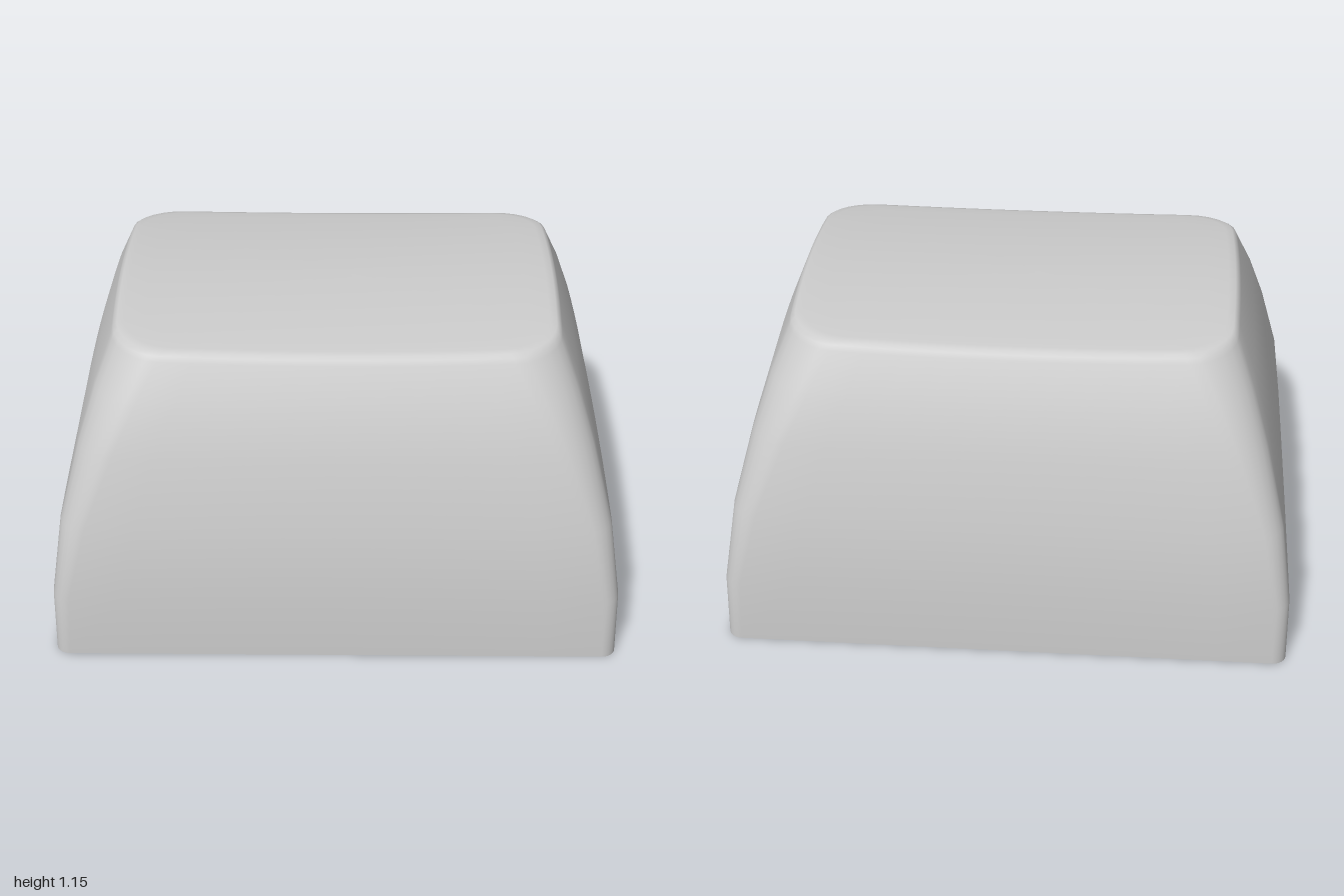
import * as THREE from 'three';

const ARC = 6, SIDE = 10;

// Arched front to back, slightly dished from side to side
const topSag = (x, z) => -0.042 * (z / 0.56) ** 2 - 0.012 * (1 - Math.min(1, (x / 0.77) ** 2));

// Rounded rectangle outline in x/z, with sides bowed outwards by a fraction
function outline(hx, hz, r, bow) {
  const pts = [];
  const corners = [[1, 1], [-1, 1], [-1, -1], [1, -1]];
  const arcPoint = (k, t) => {
    const a = (k + t) * Math.PI / 2;
    return [corners[k][0] * (hx - r) + r * Math.cos(a), corners[k][1] * (hz - r) + r * Math.sin(a)];
  };
  for (let k = 0; k < 4; k++) {
    for (let i = 0; i <= ARC; i++) pts.push(arcPoint(k, i / ARC));
    const a = arcPoint(k, 1), b = arcPoint((k + 1) % 4, 0);
    for (let i = 1; i < SIDE; i++) {
      const t = i / SIDE;
      pts.push([a[0] + (b[0] - a[0]) * t, a[1] + (b[1] - a[1]) * t]);
    }
  }
  return pts.map(([x, z]) => [x * (1 - bow * (z / hz) ** 2), z * (1 - bow * (x / hx) ** 2)]);
}

// Joins rings of points into one smooth skin
function loft(rings) {
  const n = rings[0].length, index = [];
  for (let i = 0; i < rings.length - 1; i++) {
    for (let j = 0; j < n; j++) {
      const k = (j + 1) % n;
      const a = i * n + j, b = i * n + k, c = a + n, d = b + n;
      index.push(a, c, b, b, c, d);
    }
  }
  const geo = new THREE.BufferGeometry();
  geo.setAttribute('position', new THREE.Float32BufferAttribute(rings.flat(2), 3));
  geo.setIndex(index);
  geo.computeVertexNormals();
  return geo;
}

export function createModel() {
  const group = new THREE.Group();
  group.name = 'keycap';
  const material = new THREE.MeshStandardMaterial({ color: 0xcccccc });

  // Half width, half depth, height, corner radius
  const levels = [
    [1, 0.785, 0, 0.05],
    [1, 0.785, 0.24, 0.06],
    [0.967, 0.754, 0.525, 0.09],
    [0.903, 0.692, 0.8, 0.125],
    [0.846, 0.636, 0.985, 0.15],
    [0.79, 0.571, 1.123, 0.165],
    [0.783, 0.562, 1.14, 0.165],
    [0.77, 0.551, 1.15, 0.165],
    [0.745, 0.53, 1.153, 0.16],
  ];
  const rings = levels.map(([hx, hz, y, r]) => {
    const blend = Math.min(1, (y / 1.123) ** 2);
    return outline(hx, hz, r, 0.022 * blend).map(([x, z]) => [x, y + blend * topSag(x, z), z]);
  });

  // Dished top, shrinking the rim towards the middle
  const rim = rings[rings.length - 1];
  for (const s of [0.9, 0.75, 0.6, 0.45, 0.3, 0.15, 0.001]) {
    rings.push(rim.map(([x, , z]) => [x * s, 1.153 + topSag(x * s, z * s), z * s]));
  }
  const shell = new THREE.Mesh(loft(rings), material);
  shell.name = 'shell';
  group.add(shell);

  // Flat underside
  const shape = new THREE.Shape(outline(1, 0.785, 0.05, 0).map(([x, z]) => new THREE.Vector2(x, z)));
  const base = new THREE.Mesh(new THREE.ShapeGeometry(shape).rotateX(Math.PI / 2), material);
  base.name = 'underside';
  group.add(base);

  return group;
}
